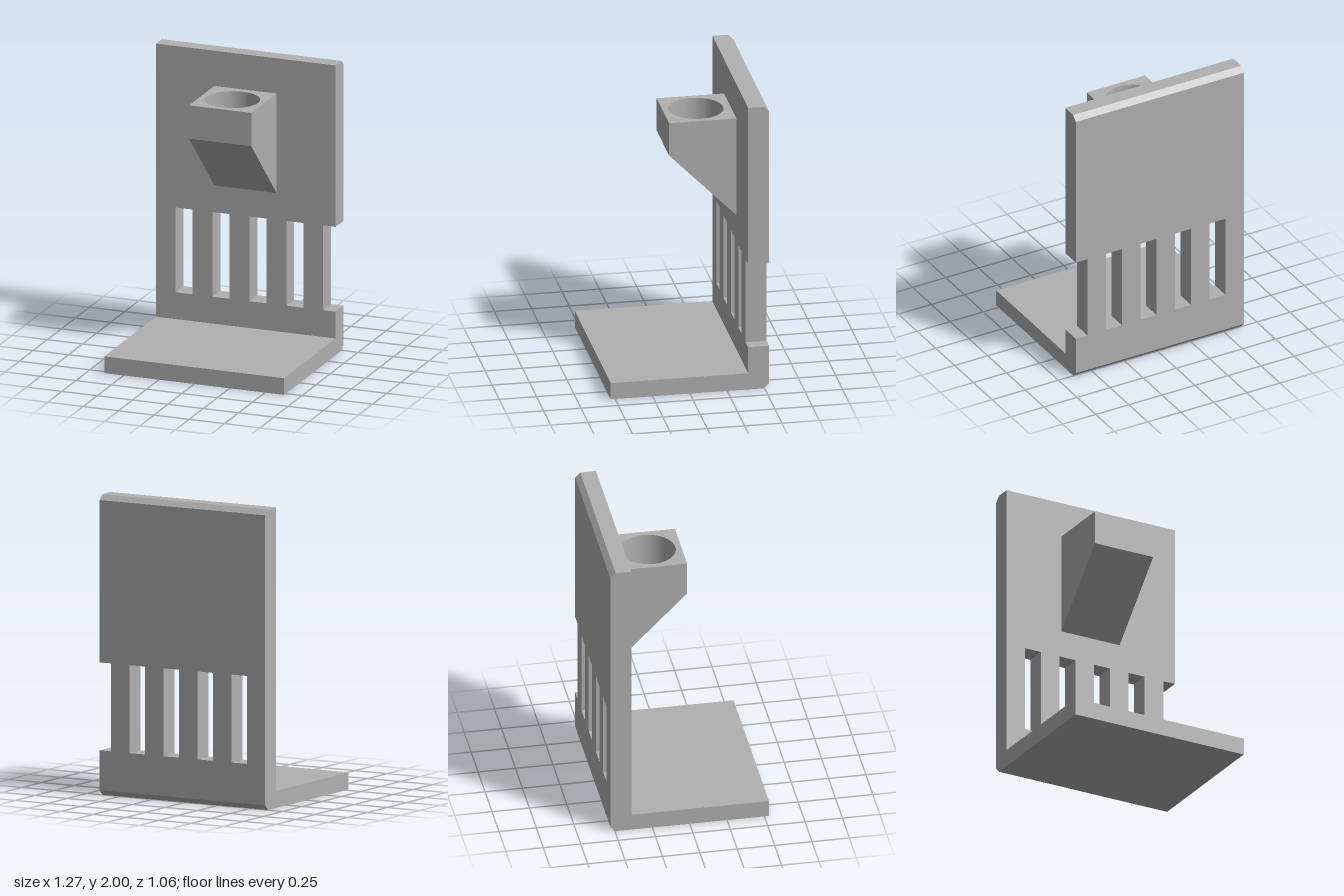
import * as THREE from 'three';

const HALF = 0.635;                 // half width of the stand
const FRONT = 0.53, BACK = -0.53;   // depth limits
const WALL = -0.39;                 // front face of the upright
const SLOT_LOW = 0.30, SLOT_HIGH = 0.885;
const CHAMFER = 0.035;

export function createModel() {
  const model = new THREE.Group();
  model.name = 'slottedStand';
  const grey = new THREE.MeshStandardMaterial({ color: 0xb0b0b0 });
  grey.name = 'plainGrey';

  const add = (name, geometry) => {
    const mesh = new THREE.Mesh(geometry, grey);
    mesh.name = name;
    model.add(mesh);
  };

  // Extrudes a side profile of [z, y] points between two x positions
  const sideExtrude = (points, x0, x1) => {
    const shape = new THREE.Shape(points.map(([z, y]) => new THREE.Vector2(z, y)));
    return new THREE.ExtrudeGeometry(shape, { depth: x1 - x0, bevelEnabled: false })
      .rotateY(-Math.PI / 2).translate(x1, 0, 0);
  };

  // Foot plate and lower strip of the upright, chamfered at the back
  add('footPlate', sideExtrude([
    [BACK + CHAMFER, 0], [FRONT, 0], [FRONT, 0.115], [WALL, 0.115],
    [WALL, SLOT_LOW], [BACK, SLOT_LOW], [BACK, CHAMFER],
  ], -HALF, HALF));

  // Upper panel, chamfered along its top back edge
  add('backPanel', sideExtrude([
    [BACK, SLOT_HIGH], [WALL, SLOT_HIGH], [WALL, 2],
    [BACK + CHAMFER, 2], [BACK, 2 - CHAMFER],
  ], -HALF, HALF));

  // Bars between the slots; the last slot runs out through the left edge
  for (let i = 0; i < 5; i++) {
    const right = i === 0 ? -HALF : -0.377 + (i - 1) * 0.261;
    const left = -0.497 + i * 0.261;
    add('slotBar' + (i + 1), new THREE.BoxGeometry(left - right, SLOT_HIGH - SLOT_LOW, WALL - BACK)
      .translate((left + right) / 2, (SLOT_HIGH + SLOT_LOW) / 2, (WALL + BACK) / 2));
  }

  // Holder block with a round socket
  const x0 = -0.223, x1 = 0.217, z1 = 0.06, low = 1.527, high = 1.757;
  const block = new THREE.Shape([
    new THREE.Vector2(x0, -z1), new THREE.Vector2(x1, -z1),
    new THREE.Vector2(x1, -WALL), new THREE.Vector2(x0, -WALL),
  ]);
  block.holes.push(new THREE.Path().absarc(-0.003, 0.16, 0.182, 0, Math.PI * 2, true));
  add('holderBlock', new THREE.ExtrudeGeometry(block, { depth: high - low, bevelEnabled: false, curveSegments: 48 })
    .rotateX(-Math.PI / 2).translate(0, low, 0));

  // Sloped support below the block, whose top closes the socket
  add('holderSupport', sideExtrude([[WALL, 1.07], [z1, low], [WALL, low]], x0, x1));

  return model;
}
